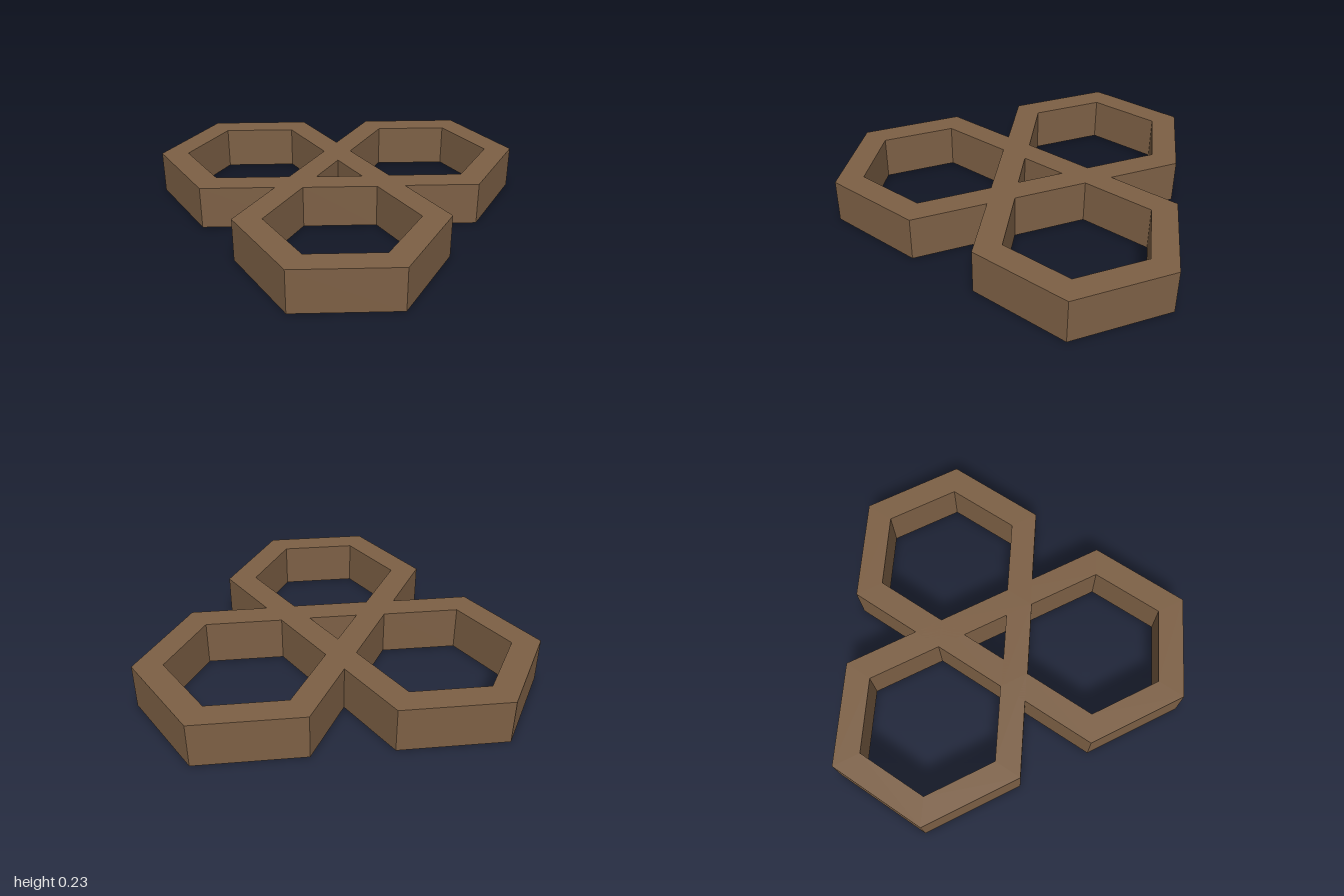
import * as THREE from 'three';

const OUTER = 0.537, INNER = 0.388, HEIGHT = 0.23;

// Hollow hexagonal ring: outer wall, flat top and inner wall, open underneath
function hexRingGeometry() {
  const profile = [
    new THREE.Vector2(OUTER, 0),
    new THREE.Vector2(OUTER, HEIGHT),
    new THREE.Vector2(INNER, HEIGHT),
    new THREE.Vector2(INNER, 0),
  ];
  const geometry = new THREE.LatheGeometry(profile, 6, Math.PI / 2).toNonIndexed();
  geometry.computeVertexNormals(); // flat faces
  return geometry;
}

export function createModel() {
  const group = new THREE.Group();
  group.name = 'hexagonCluster';

  const brown = new THREE.MeshStandardMaterial({ color: 0x7d6045, side: THREE.DoubleSide });
  brown.name = 'brown';

  // Three overlapping rings, two at the back and one at the front
  const geometry = hexRingGeometry();
  const rings = [
    ['backLeftRing', 0.463, -0.403],
    ['backRightRing', -0.463, -0.403],
    ['frontRing', 0, 0.403],
  ];
  for (const [name, x, z] of rings) {
    const ring = new THREE.Mesh(geometry, brown);
    ring.name = name;
    ring.position.set(x, 0, z);
    group.add(ring);
  }
  return group;
}
